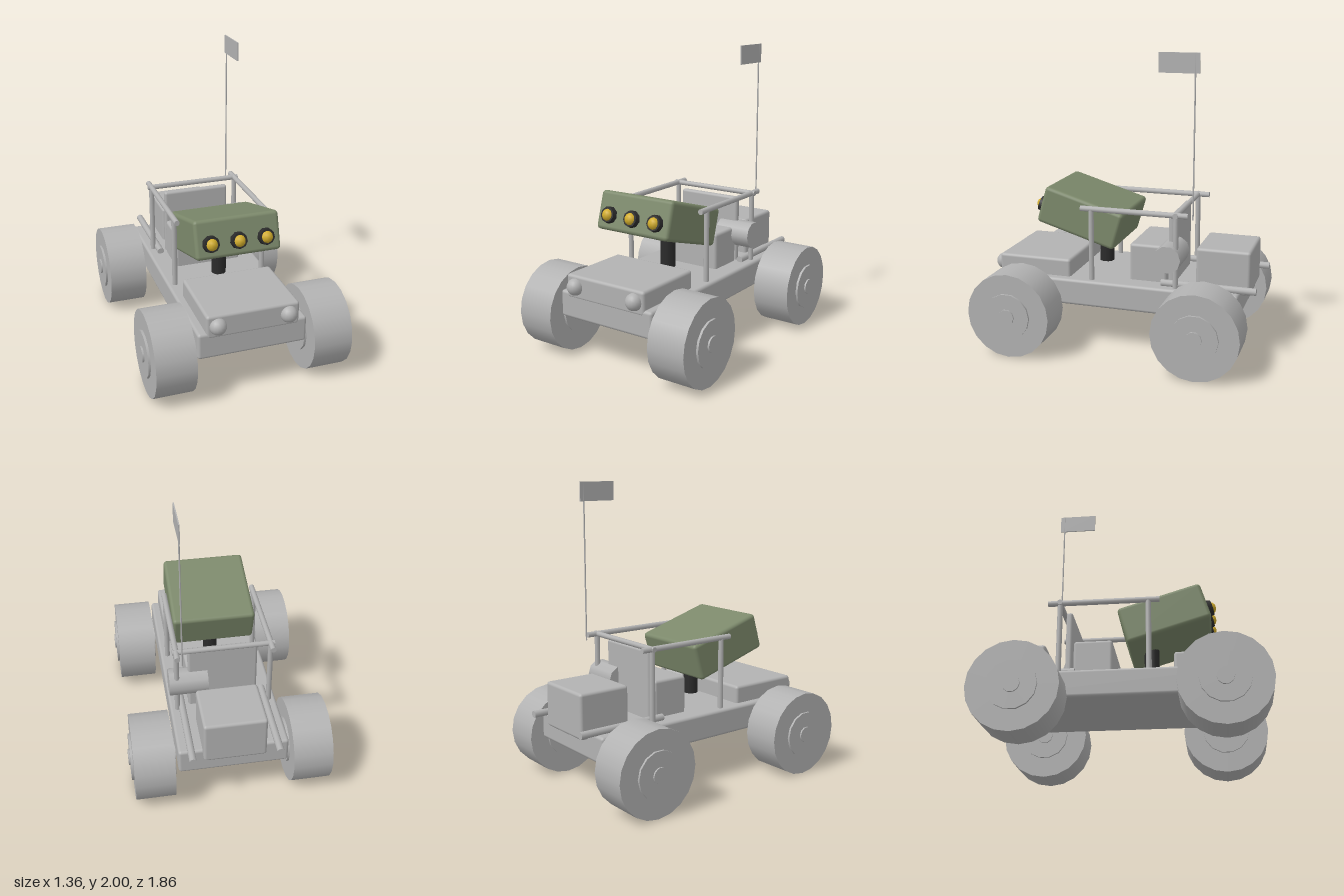
import * as THREE from 'three';
import { RoundedBoxGeometry } from 'three/addons/geometries/RoundedBoxGeometry.js';

export function createModel() {
  const root = new THREE.Group();
  root.name = 'rover';
  const mat = (name, color) => {
    const m = new THREE.MeshStandardMaterial({ color });
    m.name = name;
    return m;
  };
  const grey = mat('bodyGrey', 0xb2b2b2);
  const green = mat('podGreen', 0x7c896b);
  const black = mat('darkTrim', 0x2b2b2b);
  const yellow = mat('lampYellow', 0xd2ad2c);

  const add = (name, geo, material, x, y, z, parent = root) => {
    const m = new THREE.Mesh(geo, material);
    m.name = name;
    m.position.set(x, y, z);
    parent.add(m);
    return m;
  };
  // Rounded block given by its extents
  const block = (name, x0, x1, y0, y1, z0, z1, r = 0.02) =>
    add(name, new RoundedBoxGeometry(x1 - x0, y1 - y0, z1 - z0, 2, r), grey,
      (x0 + x1) / 2, (y0 + y1) / 2, (z0 + z1) / 2);
  // Round bar between two points
  const bar = (name, a, b, r, sides = 10, material = grey) => {
    const p = new THREE.Vector3(...a), q = new THREE.Vector3(...b);
    const d = q.clone().sub(p);
    const mid = p.clone().add(q).multiplyScalar(0.5);
    const m = add(name, new THREE.CylinderGeometry(r, r, d.length(), sides), material, mid.x, mid.y, mid.z);
    m.quaternion.setFromUnitVectors(new THREE.Vector3(0, 1, 0), d.normalize());
    return m;
  };

  // Body
  block('chassis', -0.365, 0.365, 0.3, 0.48, -0.825, 0.845);
  block('hood', -0.31, 0.31, 0.44, 0.6, 0.33, 0.848);
  block('seat', -0.235, 0.235, 0.44, 0.73, -0.325, -0.068);
  block('backrest', -0.235, 0.235, 0.46, 0.94, -0.378, -0.334, 0.018);
  block('rearBox', -0.207, 0.207, 0.43, 0.73, -0.877, -0.515);
  bar('tank', [0.105, 0.68, -0.357], [0.365, 0.68, -0.357], 0.092, 10);

  // Wheels with hubs and caps
  for (const x of [-0.523, 0.523]) for (const z of [0.642, -0.615]) {
    const wheel = new THREE.Group();
    wheel.name = 'wheel';
    wheel.position.set(x, 0.286, z);
    root.add(wheel);
    const discs = [['tire', 0.286, 0.264, 20], ['hub', 0.156, 0.294, 14], ['hubCap', 0.054, 0.316, 10]];
    for (const [name, r, w, n] of discs) {
      add(name, new THREE.CylinderGeometry(r, r, w, n).rotateZ(Math.PI / 2), grey, 0, 0, 0, wheel);
    }
  }

  // Paired parts: headlights, frame posts and rails
  for (const s of [-1, 1]) {
    add('headlight', new THREE.SphereGeometry(0.056, 16, 12), grey, s * 0.236, 0.525, 0.848);
    for (const z of [0.173, -0.405]) {
      bar('framePost', [s * 0.315, 0.46, z], [s * 0.315, 0.97, z], 0.018);
    }
    bar('topRail', [s * 0.315, 0.968, -0.485], [s * 0.315, 0.968, 0.247], 0.019);
    bar('rearRail', [s * 0.284, 0.497, -0.932], [s * 0.284, 0.497, -0.303], 0.024);
  }
  bar('rearCrossbar', [-0.34, 0.968, -0.405], [0.34, 0.968, -0.405], 0.018);

  // Tilted pod on its mount
  bar('podMount', [0, 0.525, 0.17], [0, 0.83, 0.17], 0.05, 12, black);
  const pod = new THREE.Group();
  pod.name = 'pod';
  pod.position.set(0, 0.887, 0.271);
  pod.rotation.x = -0.29;
  root.add(pod);
  add('podShell', new RoundedBoxGeometry(0.574, 0.257, 0.57, 2, 0.025), green, 0, 0, 0, pod);
  for (const x of [-0.185, 0, 0.185]) {
    add('lampHousing', new THREE.CylinderGeometry(0.052, 0.064, 0.07, 9).rotateX(Math.PI / 2), black, x, -0.029, 0.282, pod);
    add('lampLens', new THREE.SphereGeometry(0.042, 10, 8), yellow, x, -0.03, 0.302, pod);
  }

  // Mast and flag
  bar('mast', [0.287, 0.94, -0.51], [0.287, 2, -0.51], 0.005, 8);
  add('flag', new THREE.BoxGeometry(0.008, 0.127, 0.264), grey, 0.287, 1.9365, -0.407);

  return root;
}
